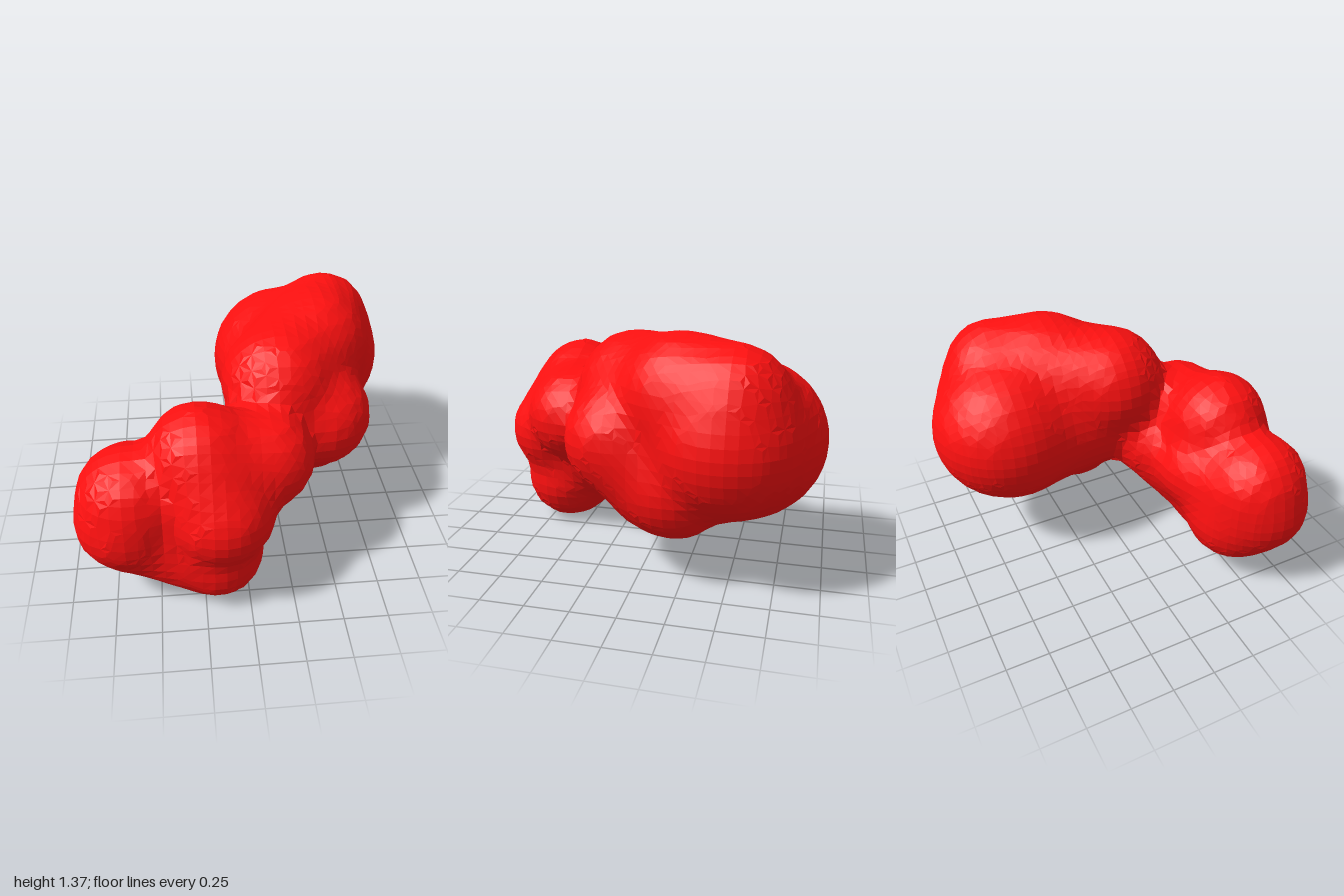
import * as THREE from 'three';

// Tapered lobes of the blob: [x, y, z, radius] at one end, then at the other
const LOBES = [
  // front half: left knob, back hull, underside, neck, main bulge, side arm
  [[-0.66, 0.52, 0.62, 0.285], [-0.63, 0.66, 0.6, 0.285]],
  [[-0.62, 0.6, 0.58, 0.27], [-0.3, 0.6, 0.46, 0.28]],
  [[-0.18, 0.27, 0.65, 0.27], [-0.55, 0.41, 0.55, 0.3]],
  [[-0.2, 0.3, 0.58, 0.24], [0.03, 0.62, 0.31, 0.25]],
  [[-0.26, 0.88, 0.56, 0.275], [-0.15, 0.6, 0.7, 0.295]],
  [[-0.2, 0.82, 0.55, 0.27], [0.1, 0.78, 0.5, 0.275]],
  // middle: upper lobe, waist, front cheek, belly
  [[0.22, 1.0, 0.08, 0.325], [0.45, 1.0, -0.25, 0.35]],
  [[0.28, 0.75, 0.05, 0.31], [0.35, 0.76, -0.45, 0.42]],
  [[0.46, 0.78, 0.12, 0.305], [0.47, 0.6, -0.1, 0.3]],
  [[0.42, 0.55, -0.1, 0.29], [0.5, 0.55, -0.2, 0.295]],
  // rear half: main mass, top ridge
  [[0.33, 0.79, -0.56, 0.43], [0.51, 0.84, -0.48, 0.425]],
  [[0.48, 1.08, -0.22, 0.29], [0.58, 1.07, -0.52, 0.28]],
];
const BLEND = 0.07;
const STEP = 0.065;
const MIN = [-1.08, -0.15, -1.13];
const SIZE = [34, 27, 36];

// Distance from a point to one tapered lobe
function lobeDistance(p, [a, b]) {
  let along = 0, length = 0;
  for (let i = 0; i < 3; i++) {
    along += (p[i] - a[i]) * (b[i] - a[i]);
    length += (b[i] - a[i]) ** 2;
  }
  const t = THREE.MathUtils.clamp(along / length, 0, 1);
  const [x, y, z, r] = a.map((v, i) => v + (b[i] - v) * t);
  return Math.hypot(p[0] - x, p[1] - y, p[2] - z) - r;
}

// Signed distance to all lobes, softly joined
function field(p) {
  let d = Infinity;
  for (const lobe of LOBES) {
    const e = lobeDistance(p, lobe);
    const h = Math.max(BLEND - Math.abs(d - e), 0) / BLEND;
    d = Math.min(d, e) - h * h * BLEND / 4;
  }
  return d;
}

// Skin the field: one vertex per crossed cell, one quad per crossed grid edge
function skinGeometry() {
  const stride = [1, SIZE[0], SIZE[0] * SIZE[1]];
  const values = [];
  const eachNode = (visit) => {
    for (let k = 0; k < SIZE[2]; k++)
      for (let j = 0; j < SIZE[1]; j++)
        for (let i = 0; i < SIZE[0]; i++) visit([i, j, k], i + j * stride[1] + k * stride[2]);
  };
  eachNode((c) => values.push(field(c.map((v, a) => MIN[a] + v * STEP))));

  const positions = [], indices = [], cellVertex = new Map();
  eachNode((c, n) => {
    if (c.some((v, a) => v >= SIZE[a] - 1)) return;
    const sum = [0, 0, 0];
    let count = 0;
    for (let corner = 0; corner < 8; corner++) {
      const offset = [corner & 1, (corner >> 1) & 1, corner >> 2];
      const m = n + offset.reduce((s, o, a) => s + o * stride[a], 0);
      for (let a = 0; a < 3; a++) {
        if (offset[a]) continue;
        const v0 = values[m], v1 = values[m + stride[a]];
        if ((v0 < 0) === (v1 < 0)) continue;
        for (let b = 0; b < 3; b++) sum[b] += offset[b] + (a === b ? v0 / (v0 - v1) : 0);
        count++;
      }
    }
    if (!count) return;
    cellVertex.set(n, positions.length / 3);
    sum.forEach((s, a) => positions.push(MIN[a] + (c[a] + s / count) * STEP));
  });
  eachNode((c, n) => {
    for (let a = 0; a < 3; a++) {
      if (c[a] >= SIZE[a] - 1) continue;
      const inside = values[n] < 0;
      if (inside === (values[n + stride[a]] < 0)) continue;
      const b = stride[(a + 1) % 3], d = stride[(a + 2) % 3];
      const q = [n - b - d, n - d, n, n - b].map((m) => cellVertex.get(m));
      if (!inside) q.reverse();
      indices.push(q[0], q[1], q[2], q[0], q[2], q[3]);
    }
  });

  const geometry = new THREE.BufferGeometry();
  geometry.setAttribute('position', new THREE.Float32BufferAttribute(positions, 3));
  geometry.setIndex(indices);
  geometry.computeVertexNormals();
  return geometry;
}

export function createModel() {
  const body = new THREE.Mesh(
    skinGeometry(),
    new THREE.MeshStandardMaterial({ color: 0xff1010, flatShading: true }),
  );
  body.name = 'lobedBody';
  const group = new THREE.Group();
  group.name = 'blob';
  group.add(body);
  return group;
}
